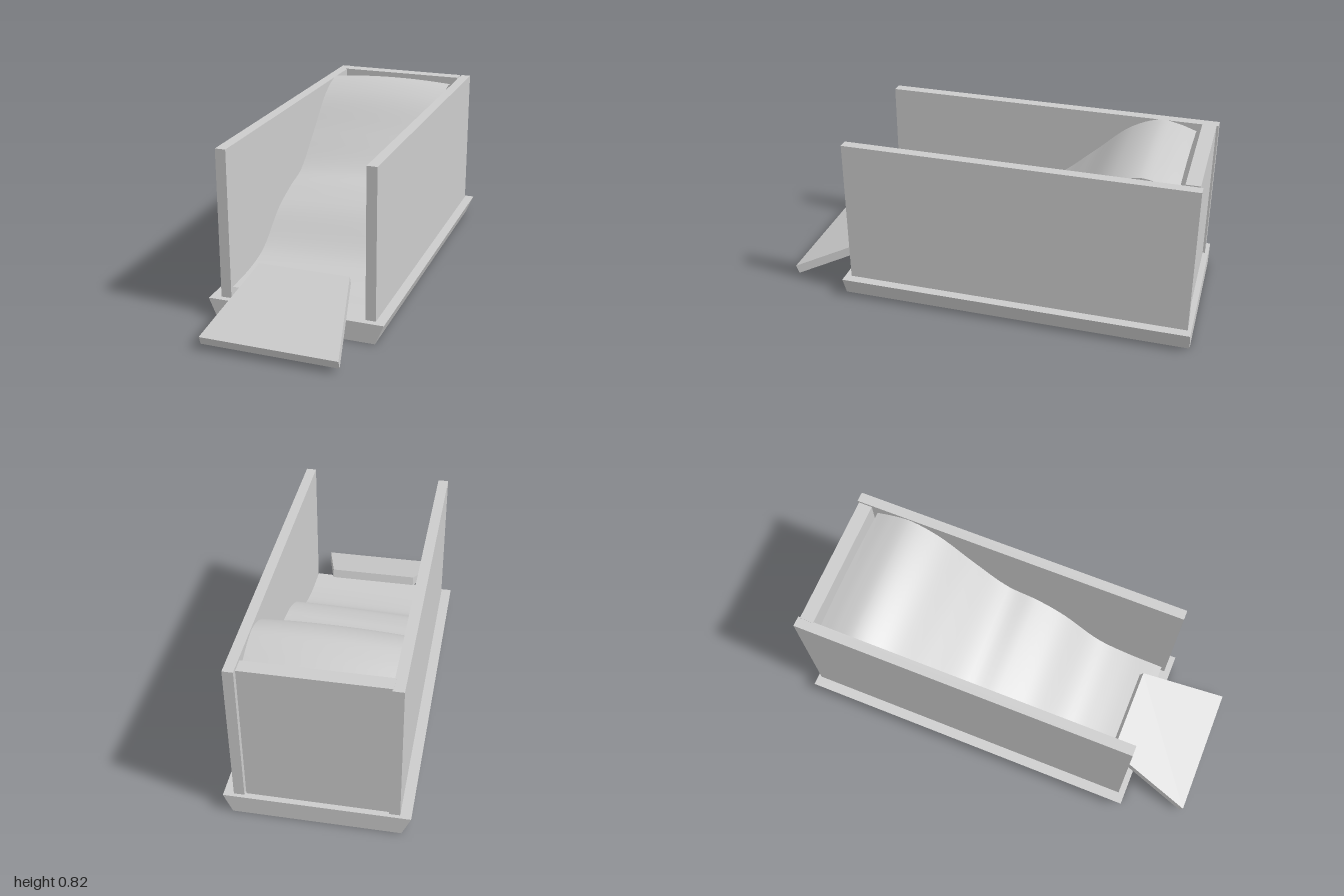
import * as THREE from 'three';

const material = new THREE.MeshStandardMaterial({ color: 0xcccccc });
const sheetMaterial = new THREE.MeshStandardMaterial({ color: 0xcccccc, side: THREE.DoubleSide });

function addMesh(group, name, geometry, mat = material) {
  const mesh = new THREE.Mesh(geometry, mat);
  mesh.name = name;
  group.add(mesh);
  return mesh;
}

// Box given by its lower and upper corners
function boxBetween([x0, y0, z0], [x1, y1, z1]) {
  return new THREE.BoxGeometry(x1 - x0, y1 - y0, z1 - z0)
    .translate((x0 + x1) / 2, (y0 + y1) / 2, (z0 + z1) / 2);
}

// Plinth whose long sides flare outward towards the top
function plinthGeometry() {
  const outline = new THREE.Shape([[-0.38, 0], [0.38, 0], [0.42, 0.095], [-0.42, 0.095]]
    .map(([x, y]) => new THREE.Vector2(x, y)));
  return new THREE.ExtrudeGeometry(outline, { depth: 1.7, bevelEnabled: false }).translate(0, 0, -1);
}

// Wavy chute: a plane draped along a side profile, gently crowned at the crest
function chuteGeometry() {
  const profile = new THREE.CatmullRomCurve3([
    [-0.88, 0.785], [-0.79, 0.813], [-0.7, 0.823], [-0.56, 0.765], [-0.38, 0.605], [-0.2, 0.46],
    [-0.05, 0.42], [0.1, 0.355], [0.3, 0.205], [0.45, 0.165], [0.65, 0.149],
  ].map(([z, y]) => new THREE.Vector3(0, y, z)));
  const geometry = new THREE.PlaneGeometry(0.64, 1, 14, 60);
  const pos = geometry.attributes.position;
  for (let i = 0; i < pos.count; i++) {
    const t = 0.5 - pos.getY(i);
    const s = pos.getX(i) / 0.32;
    const p = profile.getPoint(t);
    const crown = 0.016 * s * s * (1 - t);
    const tilt = 0.006 * s * Math.min(1, t * 2) + 0.012 * s * Math.exp(-(((p.z + 0.03) / 0.18) ** 2));
    pos.setXYZ(i, pos.getX(i), p.y - crown + tilt, p.z);
  }
  geometry.computeVertexNormals();
  return geometry;
}

// Sloping slab that narrows towards its upper end
function rampGeometry() {
  const side = new THREE.Shape([[-1.0, 0.062], [-0.985, 0.022], [-0.56, 0.205], [-0.575, 0.245]]
    .map(([x, y]) => new THREE.Vector2(x, y)));
  const geometry = new THREE.ExtrudeGeometry(side, { depth: 0.64, bevelEnabled: false })
    .translate(0, 0, -0.32).rotateY(Math.PI / 2);
  const pos = geometry.attributes.position;
  for (let i = 0; i < pos.count; i++) {
    const upper = THREE.MathUtils.clamp((0.985 - pos.getZ(i)) / 0.41, 0, 1);
    pos.setX(i, Math.sign(pos.getX(i)) * (0.32 - 0.1 * upper));
  }
  geometry.computeVertexNormals();
  return geometry;
}

export function createModel() {
  const group = new THREE.Group();
  group.name = 'slideBox';

  addMesh(group, 'plinth', plinthGeometry());

  // Walls, with a hairline gap beside the left one
  addMesh(group, 'rightWall', boxBetween([-0.37, 0.09, -0.983], [-0.32, 0.808, 0.67]));
  addMesh(group, 'leftWall', boxBetween([0.326, 0.09, -0.983], [0.374, 0.808, 0.67]));
  addMesh(group, 'backWall', boxBetween([-0.325, 0.09, -0.972], [0.32, 0.81, -0.905]));

  addMesh(group, 'chute', chuteGeometry(), sheetMaterial);
  addMesh(group, 'ramp', rampGeometry());

  return group;
}
